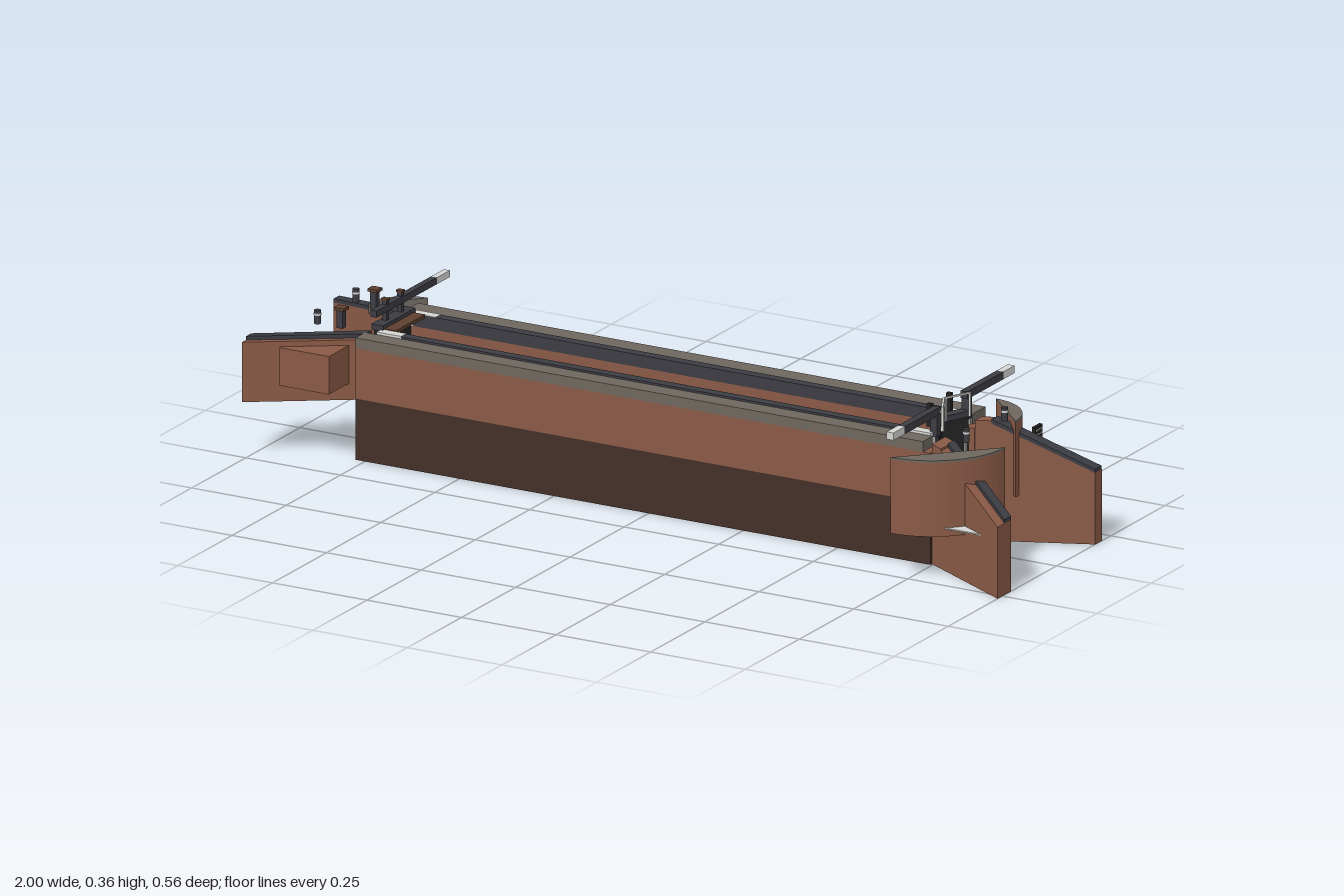
import * as THREE from 'three';
import { toCreasedNormals } from 'three/addons/utils/BufferGeometryUtils.js';

const mat = (name, color) => Object.assign(new THREE.MeshStandardMaterial({ color }), { name });

export function createModel() {
  const root = new THREE.Group();
  root.name = 'canalLock';
  const brick = mat('brick', 0x8a5a46), wetBrick = mat('wet brick', 0x432f28);
  const stone = mat('paving stone', 0x6e675f), coping = mat('dark coping', 0x3c3c44);
  const black = mat('black timber', 0x242424), pale = mat('pale paint', 0xd6d6d4);
  const wood = mat('brown wood', 0x5e4030);

  const add = (name, geo, m) => {
    const mesh = new THREE.Mesh(geo, m);
    mesh.name = name;
    root.add(mesh);
    return mesh;
  };
  // box given by its limits on each axis
  const box = (name, m, x0, x1, y0, y1, z0, z1) => {
    const g = new THREE.BoxGeometry(x1 - x0, y1 - y0, z1 - z0);
    g.translate((x0 + x1) / 2, (y0 + y1) / 2, (z0 + z1) / 2);
    return add(name, g, m);
  };
  // four-cornered block: corners [x, z, bottom, top]
  const block = (name, m, corners) => {
    let area = 0;
    corners.forEach((a, i) => {
      const b = corners[(i + 1) % 4];
      area += a[0] * b[1] - b[0] * a[1];
    });
    const c = area < 0 ? corners : corners.slice().reverse();
    const lo = c.map(p => [p[0], p[2], p[1]]), hi = c.map(p => [p[0], p[3], p[1]]);
    const pos = [];
    const quad = (p, q, r, s) => pos.push(...p, ...q, ...r, ...p, ...r, ...s);
    quad(...hi);
    quad(lo[3], lo[2], lo[1], lo[0]);
    for (let i = 0; i < 4; i++) {
      const j = (i + 1) % 4;
      quad(lo[i], lo[j], hi[j], hi[i]);
    }
    const g = new THREE.BufferGeometry();
    g.setAttribute('position', new THREE.Float32BufferAttribute(pos, 3));
    g.computeVertexNormals();
    return add(name, g, m);
  };
  // straight bar between two plan points
  const bar = (name, m, a, b, y0, y1, t) => {
    const dx = b[0] - a[0], dz = b[1] - a[1], len = Math.hypot(dx, dz);
    const mesh = add(name, new THREE.BoxGeometry(len, y1 - y0, t), m);
    mesh.position.set((a[0] + b[0]) / 2, (y0 + y1) / 2, (a[1] + b[1]) / 2);
    mesh.rotation.y = -Math.atan2(dz, dx);
    return mesh;
  };
  // quarter-round platform; sx and sz choose the quadrant
  const quarter = (name, m, x, z, r, y0, y1, sx, sz) => {
    const s = new THREE.Shape();
    const a0 = sx > 0 ? (sz > 0 ? 0 : -Math.PI / 2) : (sz > 0 ? Math.PI / 2 : Math.PI);
    s.moveTo(0, 0);
    s.absarc(0, 0, r, a0, a0 + Math.PI / 2, false);
    s.closePath();
    const g = new THREE.ExtrudeGeometry(s, { depth: y1 - y0, bevelEnabled: false, curveSegments: 20 });
    g.rotateX(Math.PI / 2);
    g.translate(x, y1, z);
    return add(name, toCreasedNormals(g, 0.5), m);
  };

  // chamber walls with wet lower courses, paving and edge coping
  for (const s of [1, -1]) {
    const inner = 0.067 * s, edge = 0.092 * s, outer = s > 0 ? 0.137 : -0.152;
    const span = (n, m, x0, x1, y0, y1, a, b) => box(n, m, x0, x1, y0, y1, Math.min(a, b), Math.max(a, b));
    span('lowerWall', wetBrick, -0.775, 0.745, 0, 0.148, inner, outer);
    span('upperWall', brick, -0.775, 0.745, 0.148, 0.27, inner, outer);
    span('paving', stone, -0.775, 0.725, 0.27, 0.295, edge, outer);
    span('edgeCoping', coping, -0.74, 0.655, 0.27, 0.3, inner, edge);
    span('paintedCoping', pale, -0.745, -0.68, 0.27, 0.301, inner, edge);
    span('paintedCoping', pale, 0.655, 0.72, 0.27, 0.301, inner, edge);
  }

  // flared wing walls at the low end, sloping down outward
  for (const [s, i1, o0, o1, cw] of [[1, 0.21, 0.13, 0.272, 0.03], [-1, 0.178, 0.1, 0.21, 0.03]]) {
    const at = (x, a, b) => s * (a + (b - a) * (x - 0.745) / 0.255);
    const xm = 0.78, im = at(xm, 0.068, i1), om = at(xm, o0, o1);
    block('lowWingRoot', brick, [[0.745, s * 0.068, 0, 0.29], [xm, im, 0, 0.29], [xm, om, 0, 0.29], [0.745, s * o0, 0, 0.29]]);
    block('lowWing', brick, [[xm, im, 0, 0.285], [1, s * i1, 0, 0.173], [1, s * o1, 0, 0.173], [xm, om, 0, 0.285]]);
    block('lowWingCoping', coping, [[xm, im, 0.283, 0.294], [1, s * i1, 0.172, 0.182],
      [1, s * (i1 + cw), 0.172, 0.182], [xm, im + s * cw, 0.283, 0.294]]);
  }

  // wing walls at the high end
  for (const [s, i1, o1, yEnd] of [[1, 0.225, 0.268, 0.285], [-1, 0.155, 0.187, 0.258]]) {
    const o0 = 0.115;
    block('highWing', brick, [[-0.77, s * 0.072, 0.14, 0.285], [-1, s * i1, 0.14, yEnd],
      [-1, s * o1, 0.14, yEnd], [-0.77, s * o0, 0.14, 0.285]]);
    block('highWingCoping', coping, [[-0.77, s * 0.072, 0.284, 0.295], [-1, s * i1, yEnd - 0.001, yEnd + 0.009],
      [-1, s * (i1 + 0.025), yEnd - 0.001, yEnd + 0.009], [-0.77, s * 0.1, 0.284, 0.295]]);
  }
  box('buttress', brick, -0.925, -0.795, 0.18, 0.272, 0.125, 0.225);

  // rounded platforms
  quarter('largeRoundWall', brick, 0.72, 0.085, 0.192, 0.113, 0.292, 1, 1);
  quarter('largeRoundPaving', stone, 0.72, 0.085, 0.192, 0.292, 0.297, 1, 1);
  quarter('smallRoundWall', brick, 0.72, -0.09, 0.12, 0.113, 0.292, 1, -1);
  quarter('smallRoundPaving', stone, 0.72, -0.09, 0.12, 0.292, 0.297, 1, -1);
  quarter('highRoundPaving', stone, -0.77, -0.09, 0.1, 0.27, 0.297, -1, -1);

  // mitred low gate: leaves, top rails, balance beams, handrails
  for (const s of [1, -1]) {
    const heel = [0.722, s * 0.07], tip = [0.69, 0];
    bar('lowGateLeaf', black, heel, tip, 0.013, 0.298, 0.014);
    bar('gateTopRail', coping, heel, tip, 0.298, 0.312, 0.024);
    bar('handrail', pale, [0.735, s * 0.065], [0.703, s * 0.002], 0.354, 0.358, 0.005);
    for (const [x, z] of [[0.735, 0.063], [0.703, 0.004]])
      box('handrailPost', pale, x - 0.003, x + 0.003, 0.3, 0.357, s * z - 0.0025, s * z + 0.0025);
    box('heelPost', coping, 0.712, 0.73, 0.29, 0.342, s * 0.073 - 0.008, s * 0.073 + 0.008);
    bar('balanceBeam', coping, [0.72, s * 0.062], [0.72, s * 0.228], 0.34, 0.358, 0.018);
    bar('beamTip', pale, [0.72, s * 0.228], [0.72, s * 0.28], 0.34, 0.358, 0.018);
    box('lowGatePaddle', black, 0.685, 0.697, 0.3, 0.355, s * 0.045 - 0.005, s * 0.045 + 0.005);
  }
  // leaks down the gate and the water below it
  for (const [z, top] of [[0.043, 0.215], [0.01, 0.205], [-0.023, 0.235], [-0.053, 0.24]])
    box('leak', pale, 0.727, 0.731, 0.133, top, z - 0.003, z + 0.003);
  box('water', pale, 0.71, 0.79, 0.131, 0.134, -0.067, 0.065);
  block('sidePool', pale, [[0.84, 0.235, 0.131, 0.134], [0.935, 0.235, 0.131, 0.134],
    [0.93, 0.205, 0.131, 0.134], [0.9, 0.16, 0.131, 0.134]]);

  // single high gate on its sill
  box('sill', wetBrick, -0.772, -0.735, 0, 0.15, -0.067, 0.067);
  box('highGate', black, -0.765, -0.745, 0.15, 0.3, -0.068, 0.068);
  box('highGateRail', coping, -0.768, -0.738, 0.298, 0.312, -0.075, 0.075);
  box('gateWalkway', wood, -0.738, -0.708, 0.295, 0.303, -0.068, 0.068);
  box('highBalanceBeam', coping, -0.763, -0.747, 0.334, 0.35, -0.19, 0.088);
  box('highBeamTip', pale, -0.763, -0.747, 0.334, 0.35, -0.25, -0.19);
  for (const z of [0.032, -0.037]) {
    box('paddlePost', coping, -0.762, -0.75, 0.3, 0.359, z - 0.006, z + 0.006);
    box('paddleCap', wood, -0.764, -0.748, 0.359, 0.364, z - 0.007, z + 0.007);
  }

  // bollards with a pale band, and ground paddle stands
  for (const [x, z] of [[-0.905, 0.085], [-0.905, -0.092], [0.81, 0.085], [0.81, -0.092]]) {
    for (const [n, m, r, y0, y1] of [['bollard', coping, 0.008, 0.293, 0.326], ['bollardBand', pale, 0.0088, 0.314, 0.319]]) {
      const g = new THREE.CylinderGeometry(r, r, y1 - y0, 12);
      g.translate(x, (y0 + y1) / 2, z);
      add(n, g, m);
    }
  }
  for (const z of [0.075, -0.08]) {
    box('paddleStand', coping, -0.856, -0.84, 0.29, 0.333, z - 0.008, z + 0.008);
    box('paddleStandCap', wood, -0.861, -0.835, 0.333, 0.34, z - 0.012, z + 0.012);
  }

  // depth gauge board with tick marks
  box('gaugeBoard', black, 0.836, 0.844, 0.14, 0.258, -0.207, -0.172);
  for (let i = 0; i < 10; i++) {
    const y = 0.148 + i * 0.011;
    for (const z of [-0.2, -0.19, -0.18])
      box('gaugeTick', pale, 0.844, 0.846, y, y + 0.004, z - 0.003, z + 0.003);
  }
  return root;
}
